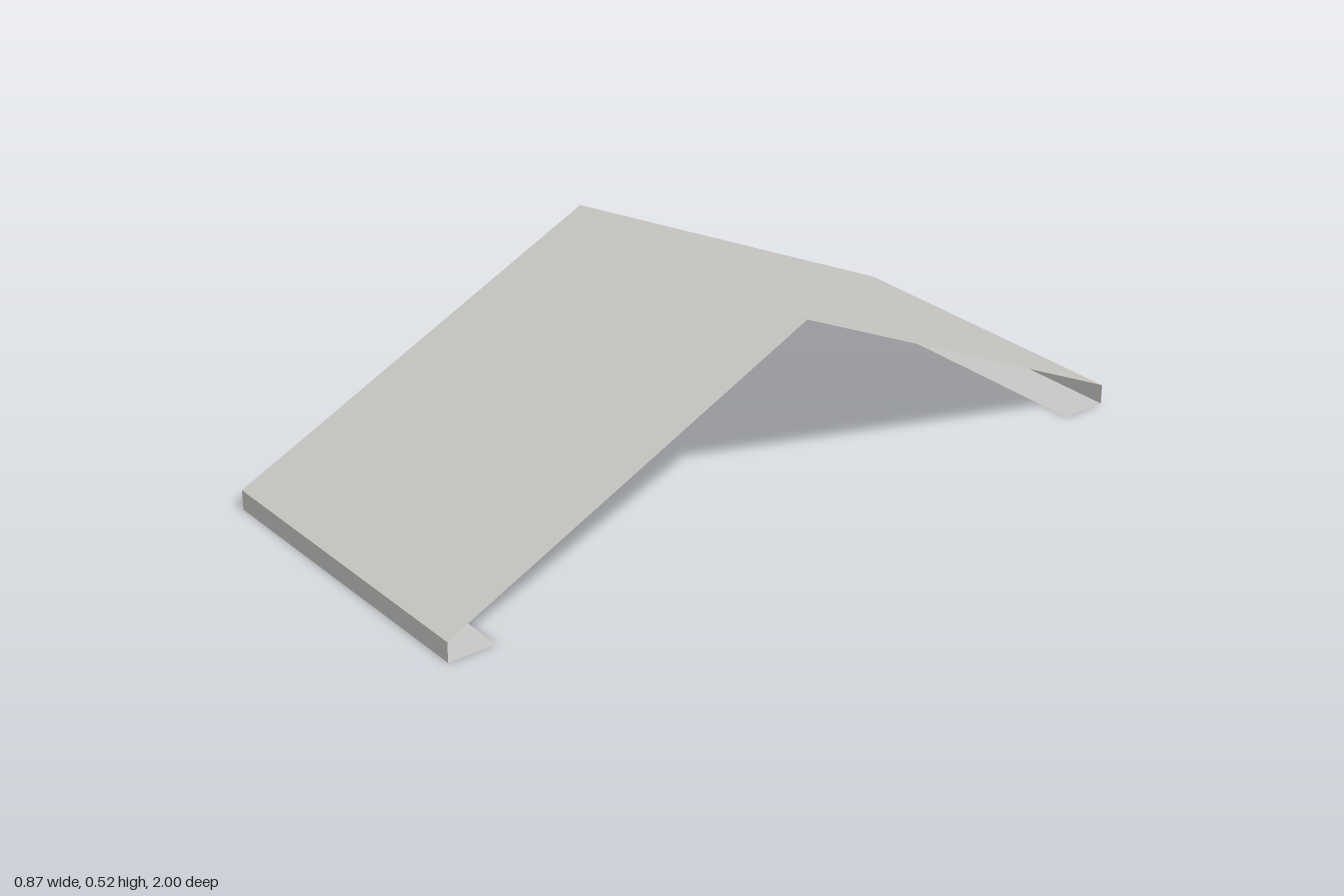
import * as THREE from 'three';

const HALF_WIDTH = 0.434; // x
const HALF_LENGTH = 1; // z
const EAVE = 0.052; // top of the low eave walls
const RIDGE = 0.523;
const LIP = 0.125; // depth of the soffit strips

export function createModel() {
  const model = new THREE.Group();
  model.name = 'gableRoof';
  const paleGrey = new THREE.MeshStandardMaterial({ color: 0xc9c7c4, side: THREE.DoubleSide });
  paleGrey.name = 'paleGrey';

  const add = (name, geometry) => {
    const mesh = new THREE.Mesh(geometry, paleGrey);
    mesh.name = name;
    model.add(mesh);
    return mesh;
  };

  // Flat sheet spanning the width between two [z, y] profile points
  const sheet = ([z0, y0], [z1, y1]) => {
    const w = HALF_WIDTH;
    const geometry = new THREE.BufferGeometry();
    geometry.setAttribute('position', new THREE.Float32BufferAttribute(
      [-w, y0, z0, w, y0, z0, w, y1, z1, -w, y1, z1], 3));
    geometry.setIndex([0, 1, 2, 0, 2, 3]);
    geometry.computeVertexNormals();
    return geometry;
  };

  // Folded shell: soffit, eave wall, two slopes, eave wall, soffit
  const profile = [
    [HALF_LENGTH - LIP, 0], [HALF_LENGTH, 0], [HALF_LENGTH, EAVE], [0, RIDGE],
    [-HALF_LENGTH, EAVE], [-HALF_LENGTH, 0], [-HALF_LENGTH + LIP, 0],
  ];
  const names = ['frontSoffit', 'frontEaveWall', 'frontSlope', 'backSlope', 'backEaveWall', 'backSoffit'];
  names.forEach((name, i) => add(name, sheet(profile[i], profile[i + 1])));

  // Gable wall closes the -x end; the +x end stays open
  const outline = new THREE.Shape(profile.slice(1, 6).map(([z, y]) => new THREE.Vector2(z, y)));
  const gable = add('gableWall', new THREE.ShapeGeometry(outline).rotateY(-Math.PI / 2));
  gable.position.x = -HALF_WIDTH;

  return model;
}
